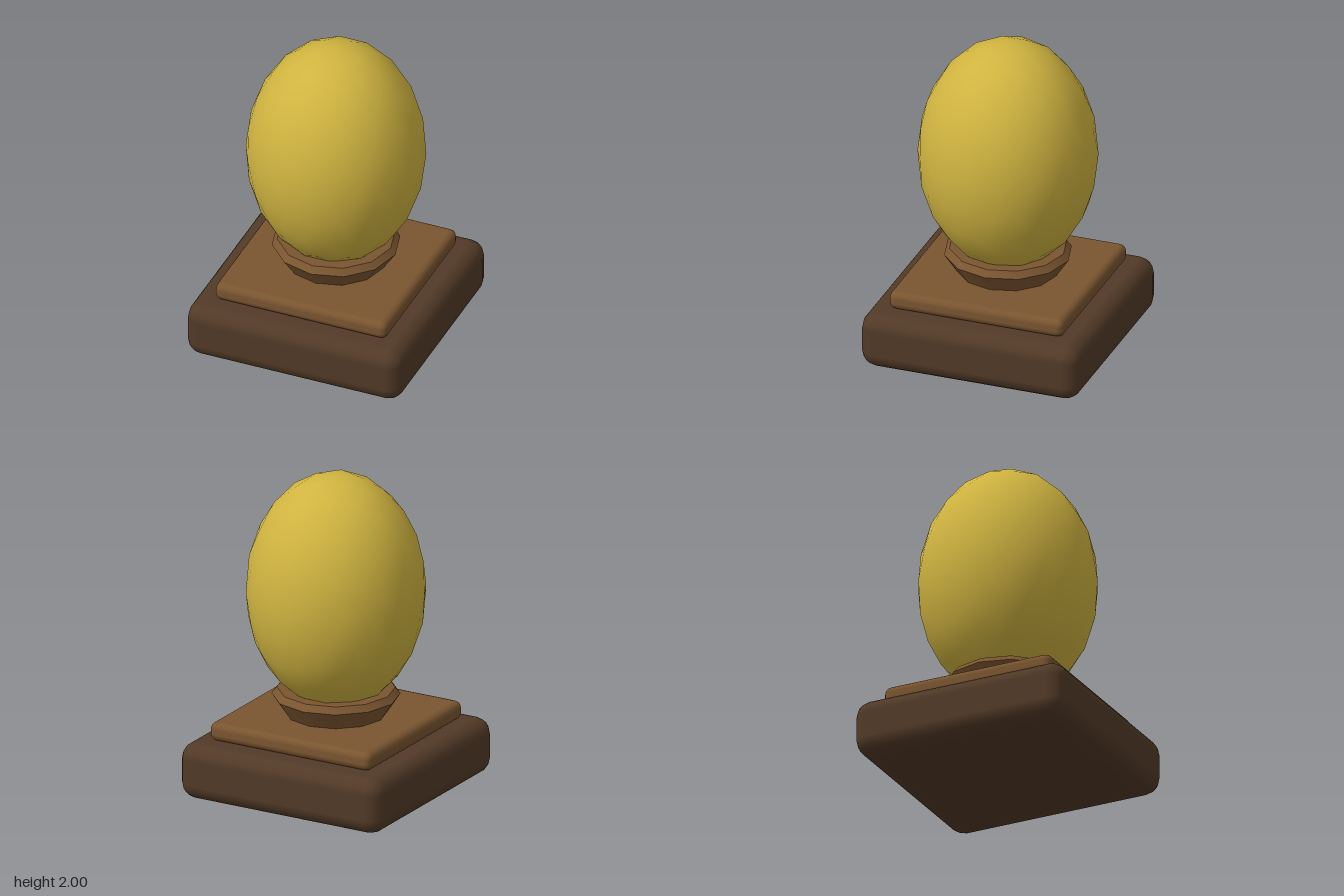
import * as THREE from 'three';
import { RoundedBoxGeometry } from 'three/addons/geometries/RoundedBoxGeometry.js';
import { toCreasedNormals } from 'three/addons/utils/BufferGeometryUtils.js';

const darkWood = new THREE.MeshStandardMaterial({ color: 0x523a27 });
const lightWood = new THREE.MeshStandardMaterial({ color: 0x7a5530 });
const gold = new THREE.MeshStandardMaterial({ color: 0xd0b440 });

export function createModel() {
  const group = new THREE.Group();

  function add(name, geometry, material, y = 0) {
    const mesh = new THREE.Mesh(geometry, material);
    mesh.name = name;
    mesh.position.y = y;
    group.add(mesh);
  }

  // Square slab with rounded edges, between two heights
  function addSlab(name, width, bottom, top, radius, material) {
    const geometry = new RoundedBoxGeometry(width, top - bottom, width, 2, radius);
    add(name, geometry, material, (bottom + top) / 2);
  }

  // Two-tier plinth
  addSlab('base', 1.41, 0, 0.355, 0.1, darkWood);
  addSlab('upperPlinth', 1.125, 0.355, 0.473, 0.045, lightWood);

  // Flared cup with a bevelled rim
  const cupProfile = [
    [0, 0.46], [0.303, 0.46], [0.39, 0.59], [0.358, 0.63], [0, 0.63],
  ].map(([r, y]) => new THREE.Vector2(r, y));
  add('cup', toCreasedNormals(new THREE.LatheGeometry(cupProfile, 12), 0.75), lightWood);

  // Egg: subdivided icosahedron, one corner turned to the top, then stretched
  const egg = new THREE.IcosahedronGeometry(1, 3);
  egg.rotateX(-Math.atan((1 + Math.sqrt(5)) / 2));
  egg.rotateY(Math.PI / 2);
  egg.scale(0.547, 0.742, 0.547);
  add('egg', egg, gold, 1.258);

  return group;
}
